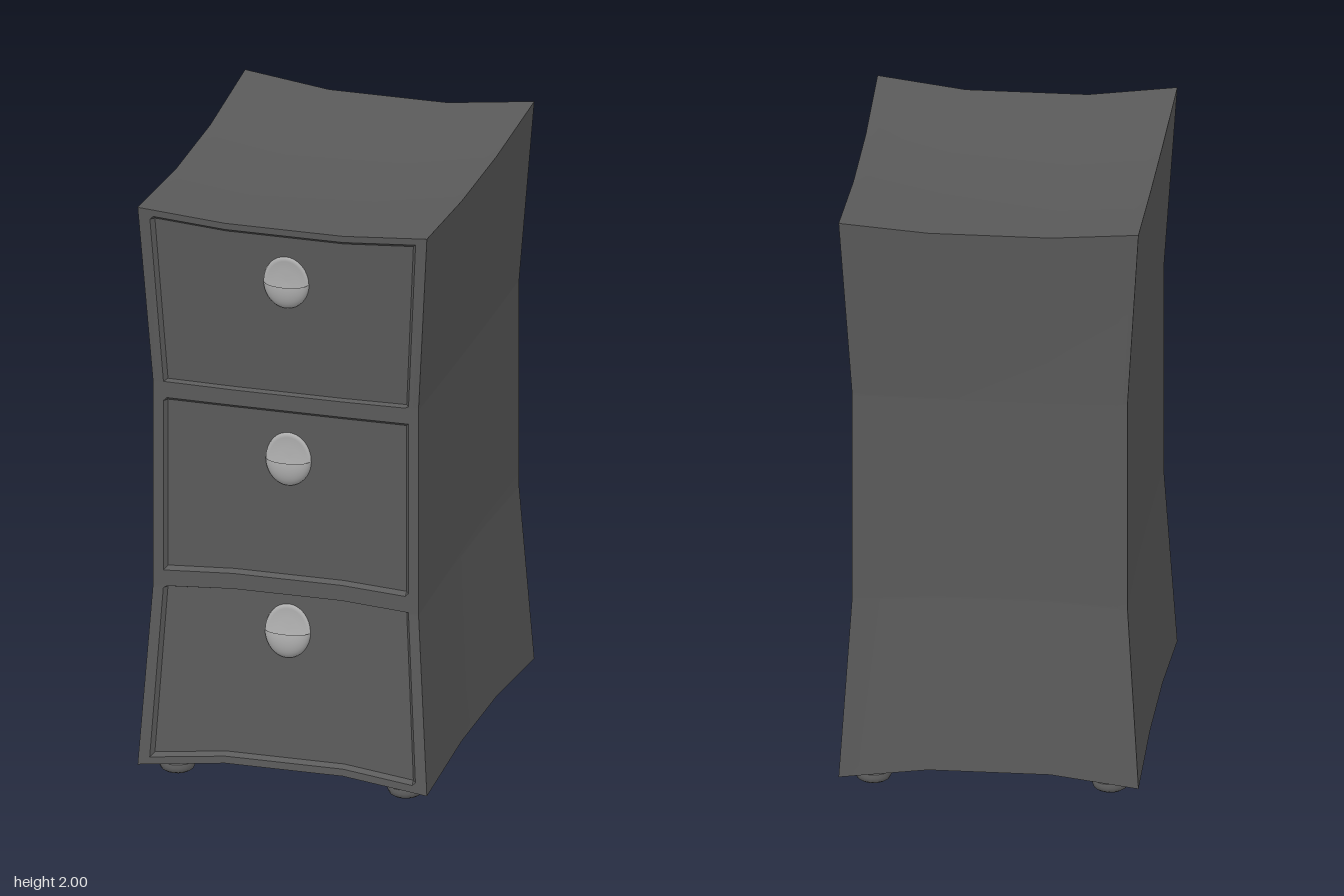
import * as THREE from 'three';
import { toCreasedNormals } from 'three/addons/utils/BufferGeometryUtils.js';

const HX = 0.49, HY = 0.9775, HZ = 0.62, MID_Y = 1.0225;
const BEVEL = 0.012, DEPTH = 0.016;
const drawers = [[0.07, 0.668], [0.718, 1.327], [1.377, 1.977]]; // bottom and top of each front
const DRAWER_X = 0.452;

// 1 in the flat middle third of an edge, falling to 0 at its end
const pinch = (t, flat, end) => 1 - Math.max(0, (Math.abs(t) - flat) / (end - flat));

// Pulls the middle of every side inward, leaving the corners flared
function warp(x, y, z) {
  const px = pinch(x, 0.2, HX), py = pinch(y - MID_Y, 0.36, HY), pz = pinch(z, 0.2, HZ);
  return new THREE.Vector3(
    x * (1 - (0.04 * py + 0.005 * pz) / HX),
    MID_Y + (y - MID_Y) * (1 - (0.03 * px + 0.03 * pz) / HY),
    z * (1 - (0.04 * py + 0.018 * px) / HZ)
  );
}

// Box cut along the given lines, with the drawer fronts sunk into its +z side
function cabinetGeometry() {
  const xs = [-HX, -DRAWER_X, -DRAWER_X + BEVEL, -0.2, 0.2, DRAWER_X - BEVEL, DRAWER_X, HX];
  const ys = [MID_Y - HY, MID_Y + HY, MID_Y - 0.36, MID_Y + 0.36];
  for (const [a, b] of drawers) ys.push(a, a + BEVEL, b - BEVEL, b);
  ys.sort((a, b) => a - b);
  const zs = [-HZ, -0.2, 0.2, HZ];
  const nx = xs.length - 1, ny = ys.length - 1, nz = zs.length - 1;
  const geo = new THREE.BoxGeometry(nx, ny, nz, nx, ny, nz);
  const p = geo.attributes.position;
  const e = 1e-6;
  for (let i = 0; i < p.count; i++) {
    const x = xs[Math.round(p.getX(i) + nx / 2)];
    const y = ys[Math.round(p.getY(i) + ny / 2)];
    const z = zs[Math.round(p.getZ(i) + nz / 2)];
    const v = warp(x, y, z);
    const sunk = z === HZ && Math.abs(x) < DRAWER_X - BEVEL + e &&
      drawers.some(([a, b]) => y > a + BEVEL - e && y < b - BEVEL + e);
    if (sunk) v.z -= DEPTH;
    p.setXYZ(i, v.x, v.y, v.z);
  }
  return toCreasedNormals(geo, 0.4);
}

// Cup pull: shallow oval dish with a bulging lower half
function makeHandle(material) {
  const handle = new THREE.Group();
  handle.name = 'handle';
  const profile = [[0, 0.002], [0.5, 0.003], [0.85, 0.006], [1, 0.009], [1.02, 0]];
  const dishGeo = new THREE.LatheGeometry(profile.map(([r, y]) => new THREE.Vector2(r, y)), 32);
  dishGeo.rotateX(Math.PI / 2);
  dishGeo.scale(0.075, 0.09, 1);
  const dish = new THREE.Mesh(dishGeo, material);
  dish.name = 'handleDish';
  const cupGeo = new THREE.SphereGeometry(1, 28, 10, 0, Math.PI, Math.PI / 2, Math.PI / 2);
  cupGeo.scale(0.077, 0.092, 0.045);
  const cup = new THREE.Mesh(cupGeo, material);
  cup.name = 'handleCup';
  handle.add(dish, cup);
  return handle;
}

export function createModel() {
  const model = new THREE.Group();
  model.name = 'drawerCabinet';
  const bodyGrey = new THREE.MeshStandardMaterial({ color: 0x5a5a5a });
  bodyGrey.name = 'bodyGrey';
  const handleGrey = new THREE.MeshStandardMaterial({ color: 0xb4b4b4, side: THREE.DoubleSide });
  handleGrey.name = 'handleGrey';
  const footGrey = new THREE.MeshStandardMaterial({ color: 0x666666 });
  footGrey.name = 'footGrey';

  const cabinet = new THREE.Mesh(cabinetGeometry(), bodyGrey);
  cabinet.name = 'cabinetWithDrawerFronts';
  model.add(cabinet);

  // One pull per drawer, tilted with the curved front
  [[0.545, -0.065], [1.145, 0], [1.775, 0.065]].forEach(([y, tilt]) => {
    const handle = makeHandle(handleGrey);
    handle.position.set(0, y, warp(0, y, HZ).z - DEPTH);
    handle.rotation.x = tilt;
    model.add(handle);
  });

  // Four rounded feet
  const footProfile = [[0, 0], [0.042, 0], [0.054, 0.008], [0.06, 0.022], [0.06, 0.036], [0.05, 0.05], [0.05, 0.085]]
    .map(([r, y]) => new THREE.Vector2(r, y));
  const footGeo = toCreasedNormals(new THREE.LatheGeometry(footProfile, 16), 0.6);
  for (const sx of [-1, 1]) for (const sz of [-1, 1]) {
    const foot = new THREE.Mesh(footGeo, footGrey);
    foot.name = 'foot';
    foot.position.set(sx * 0.387, 0, sz * 0.512);
    model.add(foot);
  }
  return model;
}
